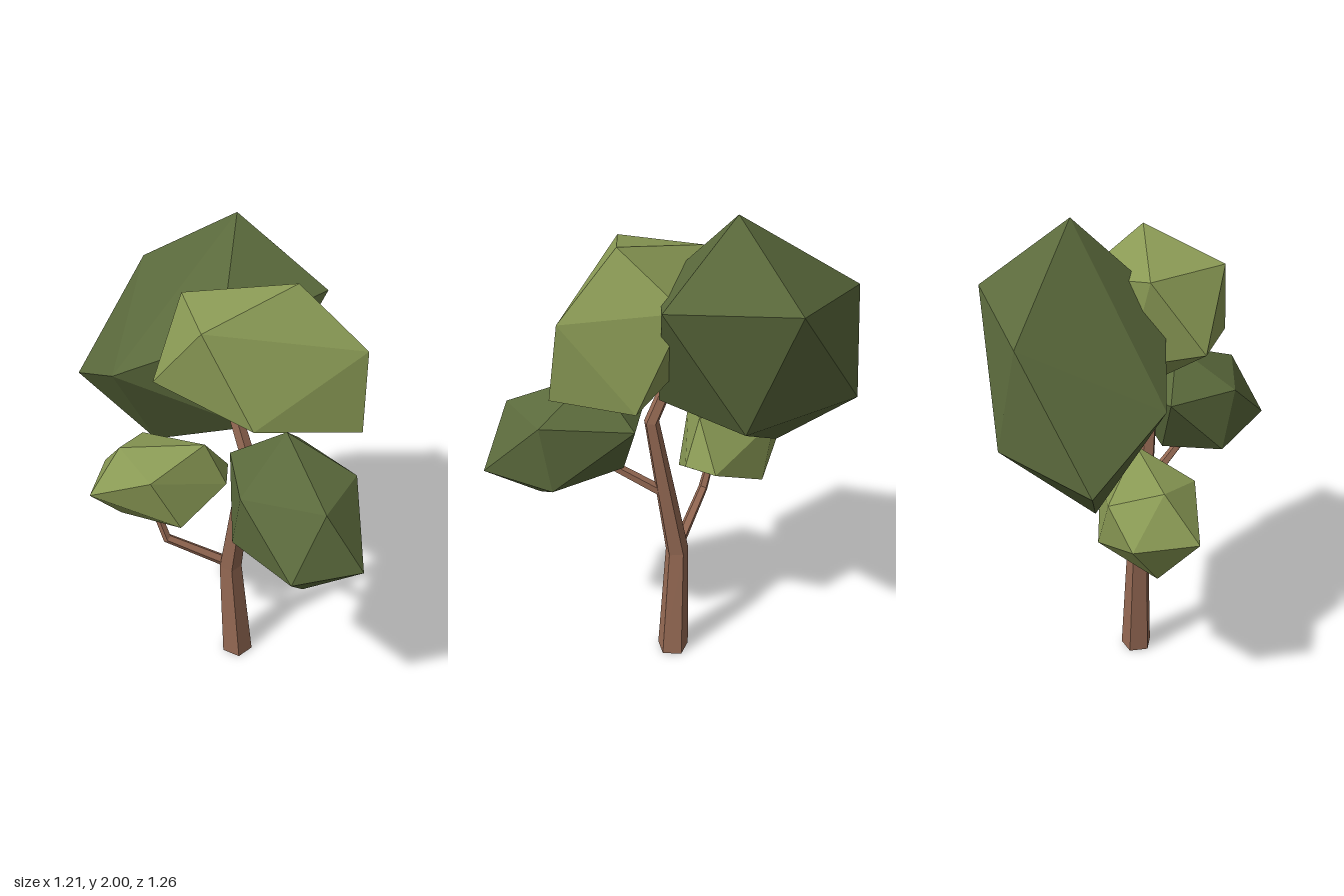
import * as THREE from 'three';
import { ConvexGeometry } from 'three/addons/geometries/ConvexGeometry.js';

const bark = new THREE.MeshStandardMaterial({ color: 0x966a54 });
bark.name = 'bark brown';
const darkLeaf = new THREE.MeshStandardMaterial({ color: 0x5b6a3c });
darkLeaf.name = 'dark leaf green';
const lightLeaf = new THREE.MeshStandardMaterial({ color: 0x8a9a55 });
lightLeaf.name = 'light leaf green';

// Five-sided tapering limb that follows a bent path; each stop is [x, y, z, radius]
function limb(name, stops, flatBase = false) {
  const n = stops.length - 1;
  const up = new THREE.Vector3(0, 1, 0);
  const points = stops.map(([x, y, z]) => new THREE.Vector3(x, y, z));
  const turns = points.map((p, i) => {
    const along = points[Math.min(i + 1, n)].clone().sub(points[Math.max(i - 1, 0)]).normalize();
    return new THREE.Quaternion().setFromUnitVectors(up, flatBase && i === 0 ? up : along);
  });
  const cylinder = new THREE.CylinderGeometry(1, 1, n, 5, n, false, THREE.MathUtils.degToRad(12));
  const pos = cylinder.attributes.position;
  const v = new THREE.Vector3();
  for (let k = 0; k < pos.count; k++) {
    v.fromBufferAttribute(pos, k);
    const i = Math.round(v.y + n / 2);
    v.setY(0).multiplyScalar(stops[i][3]).applyQuaternion(turns[i]).add(points[i]);
    pos.setXYZ(k, v.x, v.y, v.z);
  }
  const geometry = cylinder.toNonIndexed();
  geometry.computeVertexNormals();
  const mesh = new THREE.Mesh(geometry, bark);
  mesh.name = name;
  return mesh;
}

// Faceted leaf clump: the hull of a few corner points
function clump(name, material, corners) {
  const mesh = new THREE.Mesh(new ConvexGeometry(corners.map((c) => new THREE.Vector3(...c))), material);
  mesh.name = name;
  return mesh;
}

export function createModel() {
  const tree = new THREE.Group();
  tree.name = 'tree';

  // Trunk and side branches
  tree.add(
    limb('trunk', [
      [0.113, 0, -0.022, 0.069], [0.077, 0.5, -0.022, 0.05],
      [0.145, 1.13, 0.05, 0.031], [0.06, 1.38, -0.02, 0.026],
    ], true),
    limb('rightBranch', [
      [0.07, 0.51, -0.02, 0.025], [-0.19, 0.655, 0.015, 0.021], [-0.245, 0.82, 0, 0.017],
    ]),
    limb('frontBranch', [[0.12, 0.8, 0.01, 0.023], [0.27, 0.98, 0.27, 0.018]]),
  );

  // Large crown at the back
  tree.add(clump('backCrown', darkLeaf, [
    [0.067, 2, -0.274],
    [0.19, 1.74, -0.605], [0.42, 1.74, -0.19], [0.04, 1.66, 0.08],
    [-0.395, 1.405, -0.047], [-0.337, 1.676, -0.568],
    [-0.605, 1.215, -0.374], [-0.25, 1.26, -0.635], [0.24, 1.26, -0.425], [0.15, 1.24, 0.01],
    [-0.27, 0.955, -0.287],
  ]));

  // Light crown at the front
  tree.add(clump('frontCrown', lightLeaf, [
    [0.31, 1.89, 0.07],
    [0.568, 1.675, 0.145], [-0.01, 1.8, 0.3], [-0.115, 1.79, -0.025], [0.29, 1.7, -0.2],
    [-0.203, 1.52, 0.165], [0.18, 1.465, 0.38], [0.57, 1.37, 0.2], [0.47, 1.355, -0.11],
    [0, 1.42, -0.08],
    [0.16, 1.29, 0.1],
  ]));

  // Low light clump on the right branch
  tree.add(clump('rightClump', lightLeaf, [
    [-0.035, 1.095, -0.06],
    [-0.385, 1.065, -0.05], [-0.235, 1.015, 0.12], [-0.32, 1.01, -0.25],
    [0.055, 0.91, -0.05], [0.05, 0.91, -0.19], [-0.5, 0.89, 0.055], [-0.48, 0.89, -0.2],
    [-0.12, 0.78, 0.095], [-0.205, 0.783, -0.265],
    [-0.4, 0.703, -0.08],
  ]));

  // Low dark clump on the front branch
  tree.add(clump('frontClump', darkLeaf, [
    [0.295, 1.36, 0.21],
    [0.56, 1.225, 0.27], [0.45, 1.225, 0.518], [0.14, 1.2, 0.42],
    [0.08, 1.19, 0.12], [0.34, 1.19, -0.01],
    [0.6, 0.98, 0.53], [0.34, 0.985, 0.63], [0.11, 0.945, 0.36],
    [0.54, 0.95, 0.24], [0.23, 0.935, 0.13],
    [0.385, 0.8, 0.44],
  ]));

  return tree;
}
